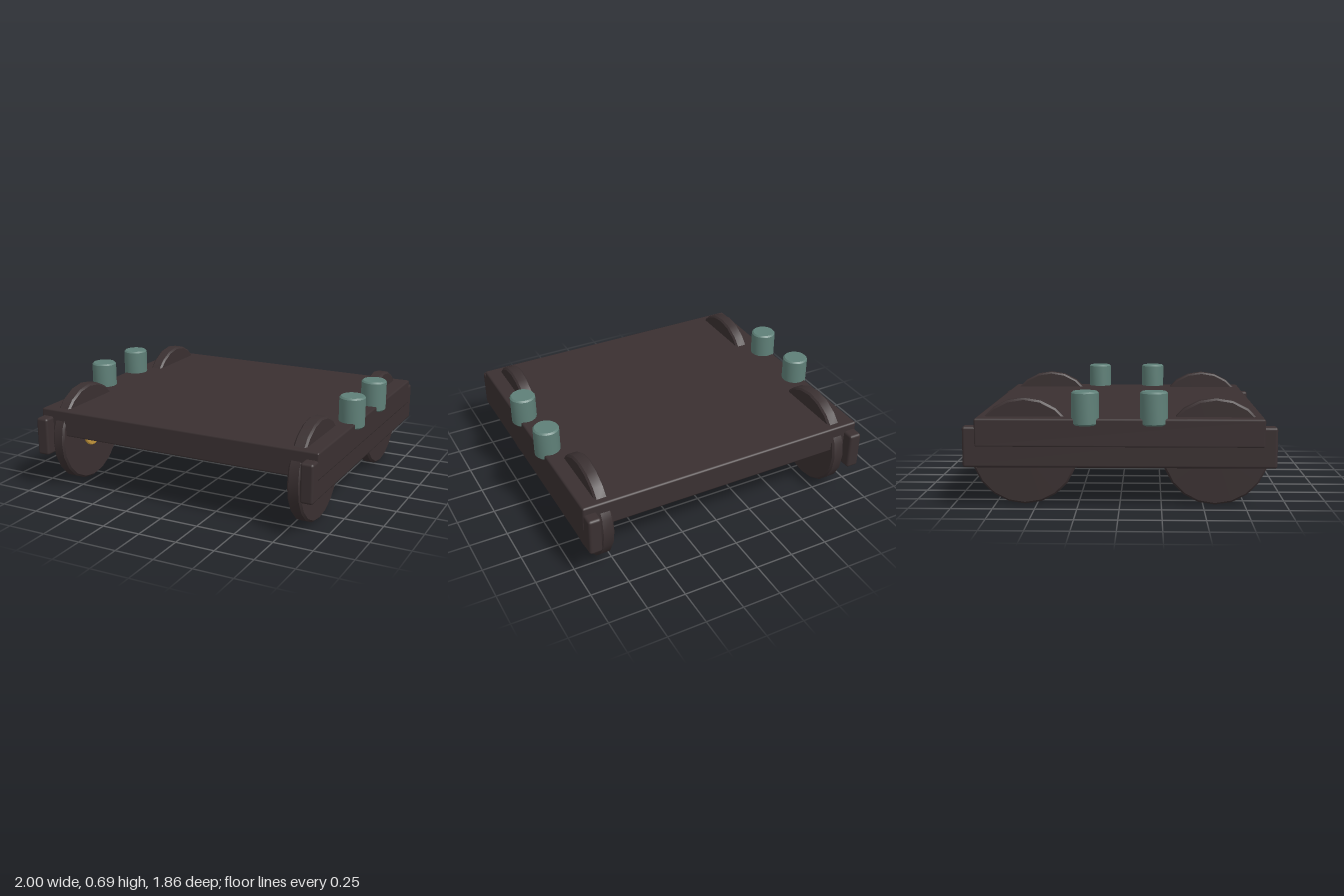
import * as THREE from 'three';
import { toCreasedNormals } from 'three/addons/utils/BufferGeometryUtils.js';
import { RoundedBoxGeometry } from 'three/addons/geometries/RoundedBoxGeometry.js';

function material(name, color) {
  const m = new THREE.MeshStandardMaterial({ color });
  m.name = name;
  return m;
}

// Solid round bar along y with chamfered rims
function chamferedCylinder(radius, length, bevel, sides) {
  const h = length / 2;
  const profile = [
    [0, -h], [radius - bevel, -h], [radius, -h + bevel],
    [radius, h - bevel], [radius - bevel, h], [0, h],
  ].map(([x, y]) => new THREE.Vector2(x, y));
  return toCreasedNormals(new THREE.LatheGeometry(profile, sides), 0.6);
}

export function createModel() {
  const group = new THREE.Group();
  const dark = material('darkWood', 0x3a3031);
  const teal = material('tealMetal', 0x5f8078);
  const brass = material('brass', 0xc4963c);

  const add = (name, geometry, mat, x, y, z) => {
    const mesh = new THREE.Mesh(geometry, mat);
    mesh.name = name;
    mesh.position.set(x, y, z);
    group.add(mesh);
  };

  // Deck slab
  add('deck', new RoundedBoxGeometry(1.93, 0.17, 1.716, 1, 0.012), dark, 0, 0.45, 0);

  const beam = new RoundedBoxGeometry(0.083, 0.246, 1.86, 2, 0.016);
  const peg = chamferedCylinder(0.082, 0.2, 0.01, 20);
  const wheel = chamferedCylinder(0.322, 0.085, 0.012, 20).rotateZ(Math.PI / 2);
  const hub = chamferedCylinder(0.098, 0.112, 0.006, 20).rotateZ(Math.PI / 2);
  const axle = new THREE.CylinderGeometry(0.036, 0.036, 1.77, 16).rotateZ(Math.PI / 2);

  for (const side of [-1, 1]) {
    // Long side beams
    add('sideBeam', beam, dark, side * 0.919, 0.364, 0);
    for (const end of [-1, 1]) {
      // Pegs on the deck edge, wheels rising through the deck
      add('peg', peg, teal, side * 0.918, 0.595, end * 0.203);
      add('wheel', wheel, dark, side * 0.824, 0.324, end * 0.573);
      add('wheelHub', hub, brass, side * 0.824, 0.324, end * 0.573);
    }
  }

  // Axles joining each pair of wheels
  for (const end of [-1, 1]) add('axle', axle, dark, 0, 0.324, end * 0.573);

  return group;
}
